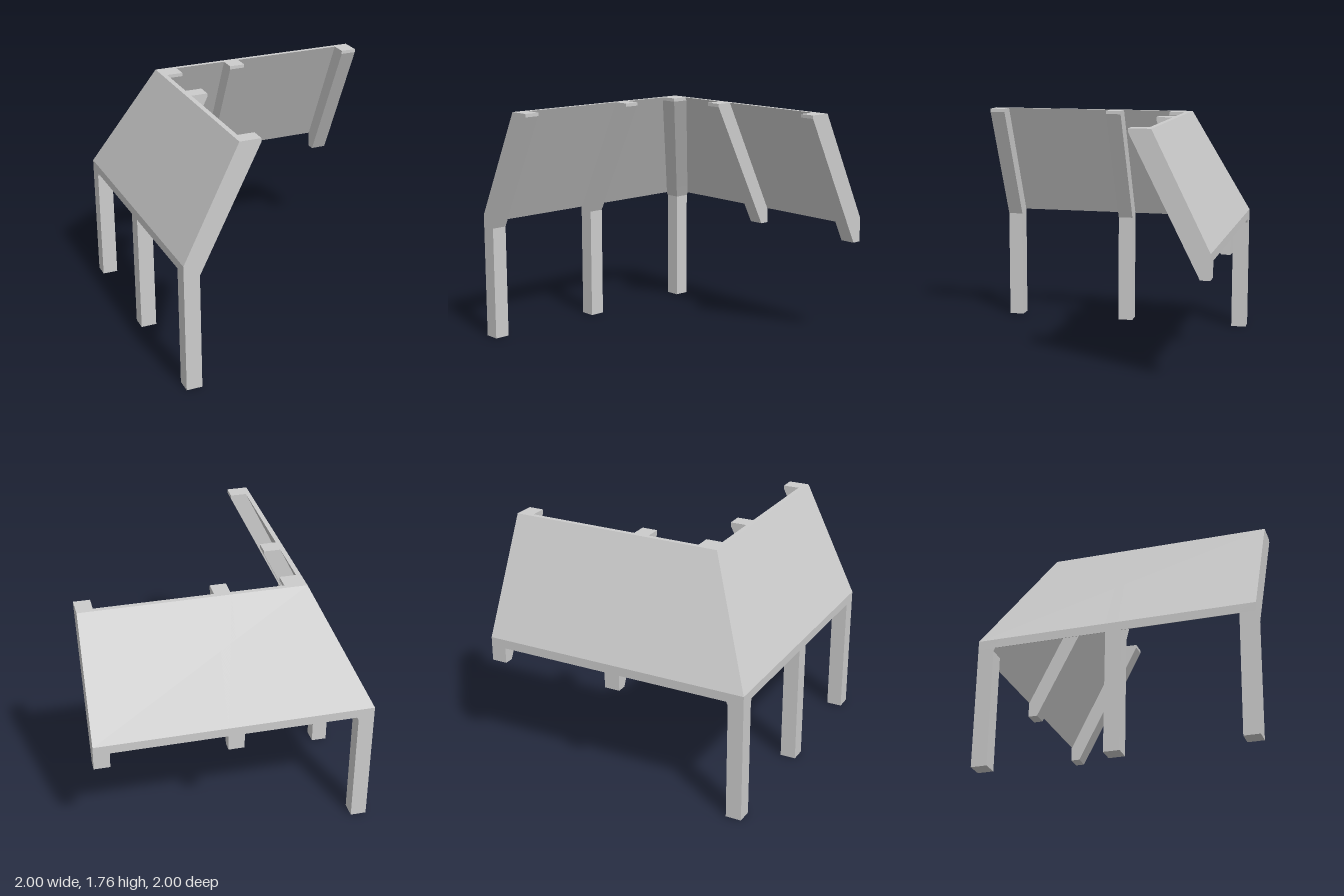
import * as THREE from 'three';

const material = new THREE.MeshStandardMaterial({ color: 0xcccccc, flatShading: true });
const W = 0.115; // timber width

// Cross-sections as [inward position, height]; the outer wall line is at -1
const postProfile = [[-1, 0], [-0.885, 0], [-0.885, 0.86], [-0.44, 1.74], [-0.44, 1.765], [-0.595, 1.765], [-1, 0.95]];
const rafterProfile = [[-1, 0.77], [-0.93, 0.77], [-0.44, 1.74], [-0.44, 1.765], [-0.595, 1.765], [-1, 0.95]];
const panelProfile = [[-1, 0.885], [-0.997, 0.885], [-0.56, 1.765], [-0.595, 1.765], [-1, 0.95]];

// Extrude a cross-section along z between two positions
function sweep(profile, z0, z1) {
  const shape = new THREE.Shape(profile.map(([x, y]) => new THREE.Vector2(x, y)));
  return new THREE.ExtrudeGeometry(shape, { depth: z1 - z0, bevelEnabled: false }).translate(0, 0, z0);
}

// Roof panel with a mitred end at the hip (end = -1 or 1 along z)
function mitredPanel(end) {
  const geometry = sweep(panelProfile, -1, 1);
  const p = geometry.attributes.position;
  for (let i = 0; i < p.count; i++) {
    if (p.getZ(i) * end > 0) p.setZ(i, -end * p.getX(i));
  }
  geometry.computeVertexNormals();
  return geometry;
}

// Corner post that leans inward along the hip; square section at every height
function cornerPostGeometry() {
  const rows = [[0, -1, -0.885], [0.86, -1, -0.885], [0.95, -1, -0.84], [1.74, -0.607, -0.44], [1.765, -0.595, -0.44]];
  const geometry = new THREE.BoxGeometry(1, 1, 1, 1, rows.length - 1, 1).toNonIndexed();
  const p = geometry.attributes.position;
  for (let i = 0; i < p.count; i++) {
    const [y, outer, inner] = rows[Math.round((p.getY(i) + 0.5) * (rows.length - 1))];
    p.setXYZ(i, p.getX(i) < 0 ? outer : inner, y, p.getZ(i) < 0 ? outer : inner);
  }
  geometry.computeVertexNormals();
  return geometry;
}

export function createModel() {
  const model = new THREE.Group();
  model.name = 'cornerCanopy';
  const add = (parent, name, geometry) => {
    const mesh = new THREE.Mesh(geometry, material);
    mesh.name = name;
    parent.add(mesh);
  };

  // Side wing: panel carried by bent posts
  const side = new THREE.Group();
  side.name = 'sideWing';
  add(side, 'sidePanel', mitredPanel(-1));
  add(side, 'frontPost', sweep(postProfile, 1 - W, 1));
  add(side, 'middlePost', sweep(postProfile, -W / 2, W / 2));

  // Back wing: same section turned a quarter, with short rafters
  const back = new THREE.Group();
  back.name = 'backWing';
  add(back, 'backPanel', mitredPanel(1));
  add(back, 'endRafter', sweep(rafterProfile, -1, W - 1));
  add(back, 'middleRafter', sweep(rafterProfile, -W / 2, W / 2));
  back.rotation.y = -Math.PI / 2;

  model.add(side, back);
  add(model, 'cornerPost', cornerPostGeometry());
  return model;
}
